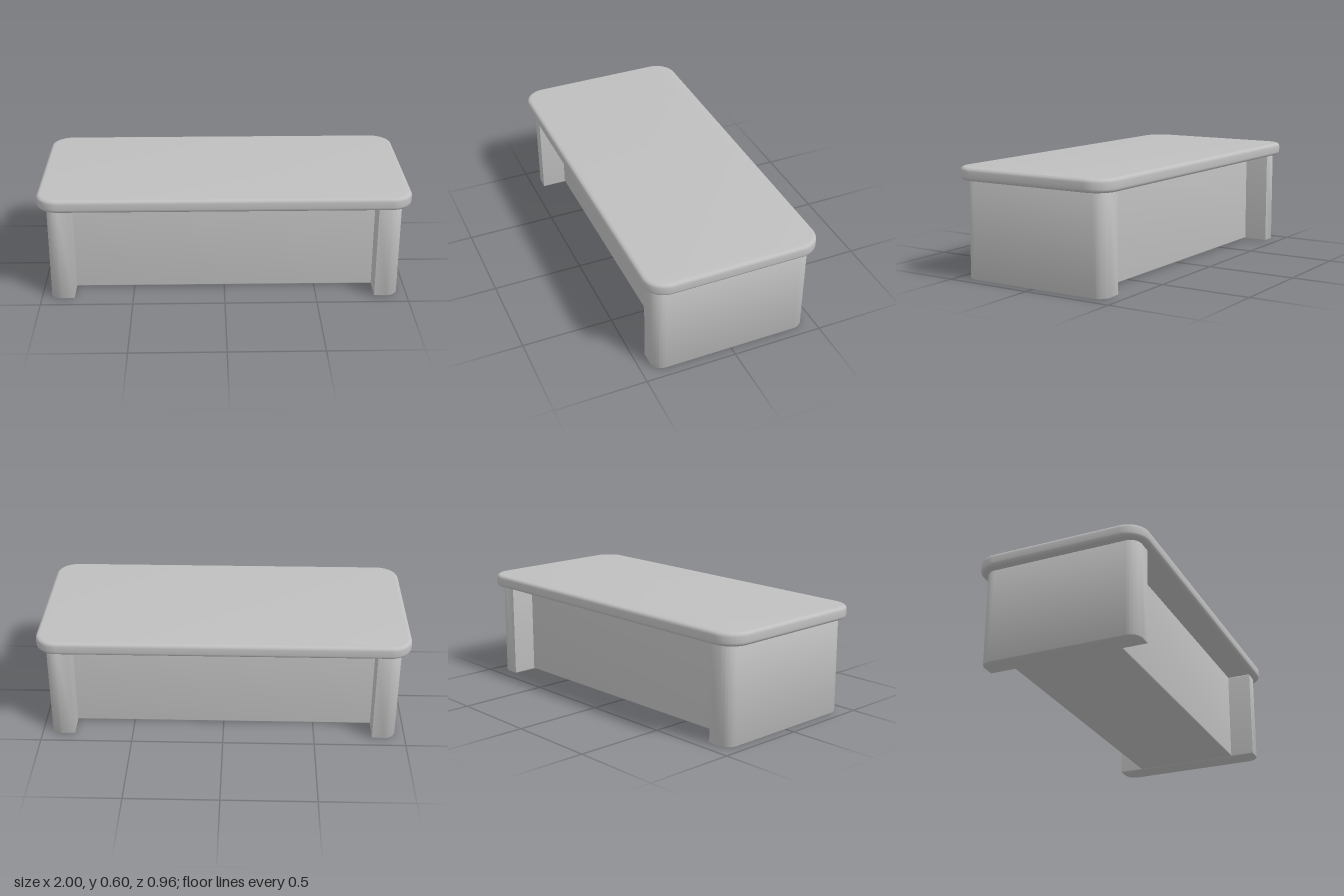
import * as THREE from 'three';
import { toCreasedNormals } from 'three/addons/utils/BufferGeometryUtils.js';

// Rectangle outline with its own radius for the right and left corners
function outline(x0, x1, halfZ, rRight, rLeft) {
  const s = new THREE.Shape();
  s.moveTo(x0 + rLeft, -halfZ);
  s.lineTo(x1 - rRight, -halfZ);
  if (rRight) s.absarc(x1 - rRight, -halfZ + rRight, rRight, -Math.PI / 2, 0);
  s.lineTo(x1, halfZ - rRight);
  if (rRight) s.absarc(x1 - rRight, halfZ - rRight, rRight, 0, Math.PI / 2);
  s.lineTo(x0 + rLeft, halfZ);
  if (rLeft) s.absarc(x0 + rLeft, halfZ - rLeft, rLeft, Math.PI / 2, Math.PI);
  s.lineTo(x0, -halfZ + rLeft);
  if (rLeft) s.absarc(x0 + rLeft, -halfZ + rLeft, rLeft, Math.PI, Math.PI * 1.5);
  return s;
}

// Upright slab between two heights, with rounded top and bottom edges
function slab(name, shape, y0, y1, bevel, material) {
  const geo = new THREE.ExtrudeGeometry(shape, {
    depth: y1 - y0 - 2 * bevel,
    bevelEnabled: true,
    bevelThickness: bevel,
    bevelSize: bevel,
    bevelOffset: -bevel,
    bevelSegments: 5,
    curveSegments: 12,
  });
  geo.rotateX(-Math.PI / 2);
  geo.translate(0, y0 + bevel, 0);
  const mesh = new THREE.Mesh(toCreasedNormals(geo, 0.55), material);
  mesh.name = name;
  return mesh;
}

export function createModel() {
  const model = new THREE.Group();
  model.name = 'desk';
  const grey = new THREE.MeshStandardMaterial({ color: 0xbfbfbf });
  grey.name = 'light grey';

  // Rounded top
  model.add(slab('top', outline(-1, 1, 0.478, 0.12, 0.12), 0.53, 0.6, 0.02, grey));

  // End supports, rounded on their outer corners
  model.add(slab('leftSupport', outline(0.82, 0.95, 0.438, 0.065, 0), 0, 0.532, 0.008, grey));
  model.add(slab('rightSupport', outline(-0.95, -0.82, 0.438, 0, 0.065), 0, 0.532, 0.008, grey));

  // Recessed body between the supports
  model.add(slab('body', outline(-0.835, 0.835, 0.3, 0, 0), 0.004, 0.54, 0.008, grey));

  return model;
}
